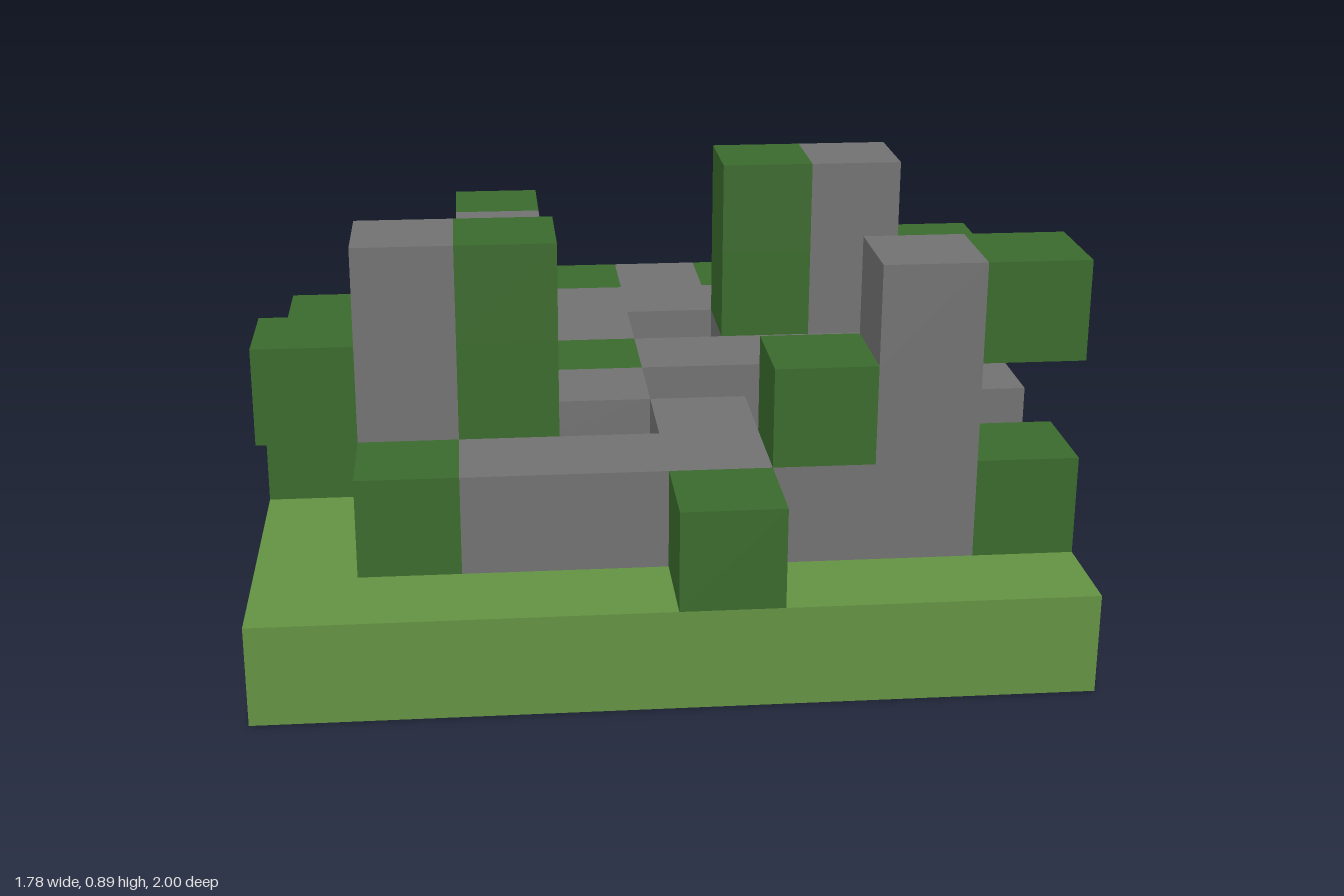
import * as THREE from 'three';
import { mergeGeometries } from 'three/addons/utils/BufferGeometryUtils.js';

const CELL = 2 / 9, COLS = 8, ROWS = 9;

// Each layer is a plan from back row to front row, left to right along +x:
// g grass, b soil, s stone, d hedge, . empty
const LAYERS = [
  ['ground', [
    'gggggggg',
    'ggbgbggg',
    'gbbbbbbg',
    'bbgbsbbg',
    'gbgsbsbg',
    'gbssggbs',
    'gbbsbgbs',
    'ggbbbbbg',
    'gggggggg']],
  ['lowerWall', [
    '..d.....',
    '..sdsd..',
    'dssssssd',
    'ss.s.ss.',
    '.s.dsss.',
    'dsss..ss',
    '.ss.s.s.',
    '.dsssssd',
    '....d...']],
  ['upperWall', [
    '........',
    '..d.....',
    '..s...s.',
    '..d..dsd',
    '........',
    '........',
    'dsd.....',
    '.....ds.',
    '........']],
  ['towerTop', [
    '........',
    '........',
    '........',
    '.....ds.',
    '........',
    '........',
    '.sd.....',
    '......sd',
    '........']],
];

const KINDS = {
  g: ['Grass', 0x659443],
  b: ['Soil', 0x795346],
  s: ['Stone', 0x737373],
  d: ['Hedge', 0x3b6b2d],
};

// One box for a run of equal cells in a row
function runBox(col, length, row, level) {
  return new THREE.BoxGeometry(length * CELL, CELL, CELL).translate(
    (col + length / 2 - COLS / 2) * CELL,
    (level + 0.5) * CELL,
    (row + 0.5 - ROWS / 2) * CELL);
}

export function createModel() {
  const model = new THREE.Group();
  model.name = 'blockRuin';
  const materials = {};
  for (const [key, [name, color]] of Object.entries(KINDS)) {
    materials[key] = new THREE.MeshStandardMaterial({ color });
    materials[key].name = name.toLowerCase();
  }

  LAYERS.forEach(([layerName, plan], level) => {
    const layer = new THREE.Group();
    layer.name = layerName;
    for (const [key, [name]] of Object.entries(KINDS)) {
      const boxes = [];
      plan.forEach((line, row) => {
        for (const run of line.matchAll(new RegExp(`${key}+`, 'g'))) {
          boxes.push(runBox(run.index, run[0].length, row, level));
        }
      });
      if (!boxes.length) continue;
      const mesh = new THREE.Mesh(mergeGeometries(boxes), materials[key]);
      mesh.name = layerName + name;
      layer.add(mesh);
    }
    model.add(layer);
  });
  return model;
}
